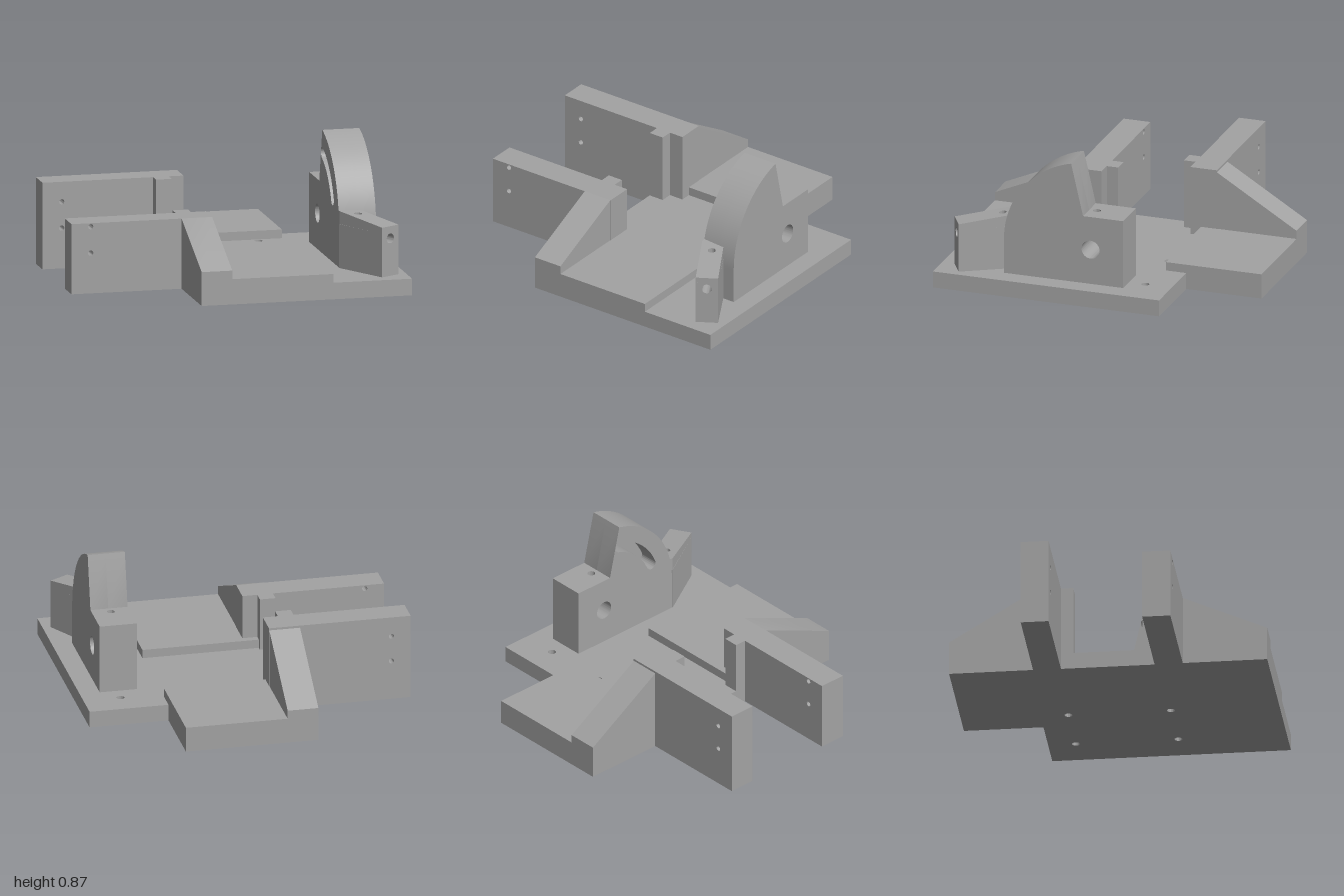
import * as THREE from 'three';
import { toCreasedNormals } from 'three/addons/utils/BufferGeometryUtils.js';

const grey = new THREE.MeshStandardMaterial({ color: 0xa3a3a3 });
grey.name = 'machined grey';

const polygon = (pts) => new THREE.Shape(pts.map(([x, y]) => new THREE.Vector2(x, y)));
const rectangle = (x0, y0, x1, y1) => polygon([[x0, y0], [x1, y0], [x1, y1], [x0, y1]]);

function hole(x, y, r) {
  const path = new THREE.Path();
  path.absarc(x, y, r, 0, Math.PI * 2, false);
  return path;
}

function extrude(shape, depth, holes = []) {
  shape.holes.push(...holes);
  return new THREE.ExtrudeGeometry(shape, { depth, bevelEnabled: false, curveSegments: 32 });
}

// Shape in (x, y), running from z0 to z1
const alongZ = (shape, z0, z1, holes) => extrude(shape, z1 - z0, holes).translate(0, 0, z0);
// Shape in (z, y), running from x0 to x1
const alongX = (shape, x0, x1, holes) =>
  extrude(shape, x1 - x0, holes).rotateY(-Math.PI / 2).translate(x1, 0, 0);
// Shape in (x, -z), running from y0 to y1
const alongY = (shape, y0, y1, holes) =>
  extrude(shape, y1 - y0, holes).rotateX(-Math.PI / 2).translate(0, y0, 0);

// Quadrant outline in (z, y), leaving room for the drilled block at its rear top
const PIVOT = 0.325, RADIUS = 0.557;
function quadrantShape() {
  const s = new THREE.Shape();
  s.moveTo(-0.21, 0.1);
  s.lineTo(RADIUS, 0.1);
  s.lineTo(RADIUS, PIVOT);
  s.absarc(0, PIVOT, RADIUS, 0, Math.acos(0.125 / RADIUS), false);
  s.lineTo(0.048, 0.535);
  s.lineTo(0.048, 0.4);
  s.lineTo(-0.21, 0.4);
  s.closePath();
  return s;
}

// Curved slot with rounded ends, concentric with the pivot
function slotPath() {
  const a0 = 0.4, a1 = 1.26, r = 0.42, w = 0.035;
  const p = new THREE.Path();
  p.absarc(0, PIVOT, r + w, a0, a1, false);
  p.absarc(r * Math.cos(a1), PIVOT + r * Math.sin(a1), w, a1, a1 + Math.PI, false);
  p.absarc(0, PIVOT, r - w, a1, a0, true);
  p.absarc(r * Math.cos(a0), PIVOT + r * Math.sin(a0), w, a0 + Math.PI, a0 + 2 * Math.PI, false);
  return p;
}

export function createModel() {
  const model = new THREE.Group();
  model.name = 'fixture';
  const add = (name, geometry) => {
    const mesh = new THREE.Mesh(toCreasedNormals(geometry, 0.5), grey);
    mesh.name = name;
    model.add(mesh);
  };

  // Base plate with four mounting holes, and two raised pads
  const baseHoles = [];
  for (const x of [0.355, 0.77]) for (const z of [-0.315, 0.31]) baseHoles.push(hole(x, -z, 0.024));
  add('basePlate', alongY(polygon([
    [-0.31, -0.97], [1, -0.97], [1, 0.485], [0.51, 0.485], [0.51, 0.97], [-0.31, 0.97],
  ]), 0, 0.103, baseHoles));
  add('frontPad', alongY(rectangle(-0.31, -0.97, 0.51, -0.24), 0.103, 0.157));
  add('rearPad', alongY(rectangle(-0.31, 0.355, 0.51, 0.97), 0.103, 0.157));

  // Side arms, each with a stop tab on the inside and a sloped gusset outside
  const arms = [
    { name: 'front', z0: 0.283, z1: 0.455, top: 0.435, tab: [0.21, 0.283], side: 1, slope: 0.435 },
    { name: 'rear', z0: -0.458, z1: -0.288, top: 0.537, tab: [-0.288, -0.213], side: -1, slope: 0.525 },
  ];
  for (const { name, z0, z1, top, tab, side, slope } of arms) {
    add(name + 'Arm', alongZ(rectangle(-1, 0, -0.12, top), z0, z1,
      [hole(-0.88, 0.413, 0.016), hole(-0.88, 0.25, 0.016)]));
    add(name + 'Tab', alongZ(rectangle(-0.31, 0, -0.213, top), ...tab));
    add(name + 'Gusset', alongX(polygon([
      [side * 0.45, 0], [side * 0.97, 0], [side * 0.97, 0.21], [side * 0.455, slope], [side * 0.45, slope],
    ]), -0.313, -0.122));
  }

  // Quadrant: slotted inner layer, solid outer layer, drilled block on top
  const bore = () => hole(0, PIVOT, 0.058);
  add('quadrantInner', alongX(quadrantShape(), 0.645, 0.765, [bore(), slotPath()]));
  add('quadrantOuter', alongX(quadrantShape(), 0.765, 0.876, [bore()]));
  add('quadrantBlock', alongY(rectangle(0.645, -0.05, 0.876, 0.21), 0.4, 0.537, [hole(0.76, 0, 0.024)]));

  // Angled foot: bored lower body and a sloped, drilled cap
  add('footBody', extrude(rectangle(0, 0.1, 0.137, 0.375), 0.378, [hole(0.068, 0.335, 0.03)])
    .rotateY(Math.PI / 6).translate(0.643, 0, 0.563));
  const cap = alongY(polygon([
    [0.645, -0.54], [0.645, -0.563], [0.832, -0.89], [0.951, -0.822], [0.787, -0.54],
  ]), 0.375, 0.41, [hole(0.75, -0.61, 0.023)]);
  const p = cap.attributes.position;
  for (let i = 0; i < p.count; i++) {
    if (p.getY(i) < 0.4) continue;
    const t = (0.89 - p.getX(i)) * 0.5 + (0.86 - p.getZ(i)) * 0.866;
    p.setY(i, 0.41 + 0.12 * Math.max(0, t));
  }
  cap.computeVertexNormals();
  add('footCap', cap);

  return model;
}
